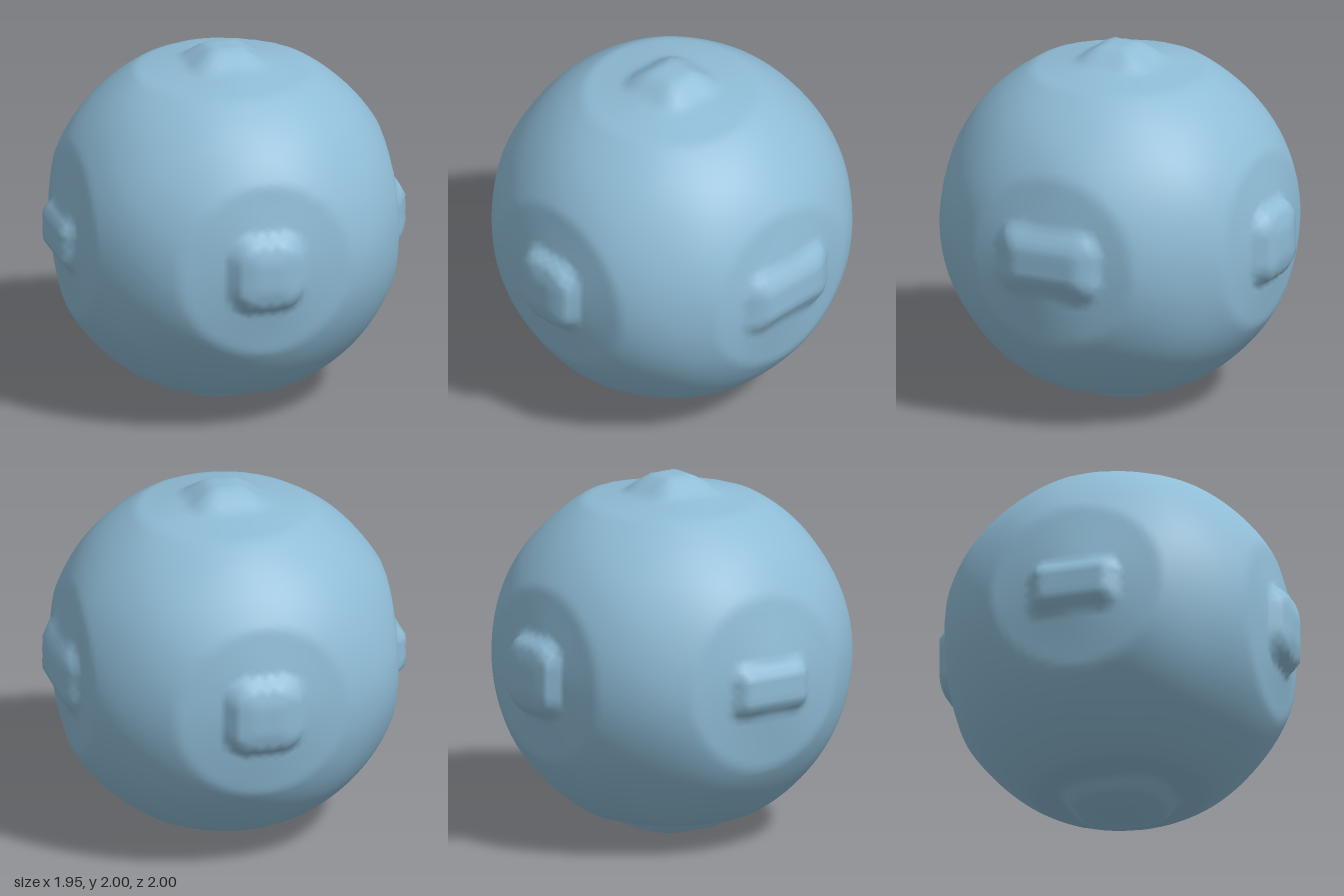
import * as THREE from 'three';
import { mergeVertices } from 'three/addons/utils/BufferGeometryUtils.js';

// One raised boss per axis direction. Offset (du, dv) and flat half sizes (a, b)
// run along the other two axes in x, y, z order. The boss falls by slope k
// over a shoulder of width w, then drops steeply.
const bosses = {
  '0+': { top: 0.975, du: 0.015, dv: 0, a: 0.085, b: 0.19, k: 0.5, w: 0.12 },
  '0-': { top: 0.975, du: -0.015, dv: 0, a: 0.085, b: 0.19, k: 0.9, w: 0.05 },
  '1+': { top: 1.0, du: 0, dv: 0, a: 0.08, b: 0.08, k: 0.6, w: 0.15 },
  '1-': { top: 1.0, du: 0, dv: 0, a: 0.07, b: 0.07, k: 0.28, w: 0.2 },
  '2+': { top: 1.0, du: 0, dv: 0, a: 0.07, b: 0.08, k: 0.27, w: 0.11 },
  '2-': { top: 1.0, du: 0, dv: 0, a: 0.08, b: 0.08, k: 0.27, w: 0.11 },
};

// Distance from the centre to the surface along a unit direction
function surfaceRadius(n) {
  const c = n.toArray();
  const size = c.map(Math.abs);
  const axis = size.indexOf(Math.max(...size));
  const [iu, iv] = [0, 1, 2].filter((i) => i !== axis);
  const h = size[axis];
  const rho = Math.hypot(c[iu], c[iv]);

  // Round body, gently uneven, with a shallow cone around each axis
  const lumps = 0.006 * Math.sin(7 * c[0] + 1) * Math.sin(6 * c[1] + 2) * Math.sin(7 * c[2]);
  const body = Math.min(0.985, 0.955 / (h + 0.2 * rho), 0.925 / h) + lumps;

  // Boss on top of the cone
  const s = bosses[axis + (c[axis] > 0 ? '+' : '-')];
  const u = Math.abs((c[iu] / h) * 0.96 - s.du);
  const v = Math.abs((c[iv] / h) * 0.96 - s.dv);
  const d = Math.hypot(Math.max(0, u - s.a), Math.max(0, v - s.b));
  const boss = (s.top - s.k * d - 1.4 * Math.max(0, d - s.w)) / h;
  return Math.max(body, boss);
}

export function createModel() {
  const group = new THREE.Group();
  group.name = 'lumpyBall';
  const paleBlue = new THREE.MeshStandardMaterial({ color: 0x8fbcd6 });
  paleBlue.name = 'pale blue';

  // Shared vertices give smooth shading
  let geometry = new THREE.IcosahedronGeometry(1, 27);
  geometry.deleteAttribute('normal');
  geometry.deleteAttribute('uv');
  geometry = mergeVertices(geometry, 1e-5);

  const position = geometry.attributes.position;
  const n = new THREE.Vector3();
  for (let i = 0; i < position.count; i++) {
    n.fromBufferAttribute(position, i).normalize();
    n.multiplyScalar(surfaceRadius(n));
    position.setXYZ(i, n.x, n.y, n.z);
  }
  geometry.computeVertexNormals();

  const ball = new THREE.Mesh(geometry, paleBlue);
  ball.name = 'ball';
  ball.position.y = 1;
  group.add(ball);
  return group;
}
